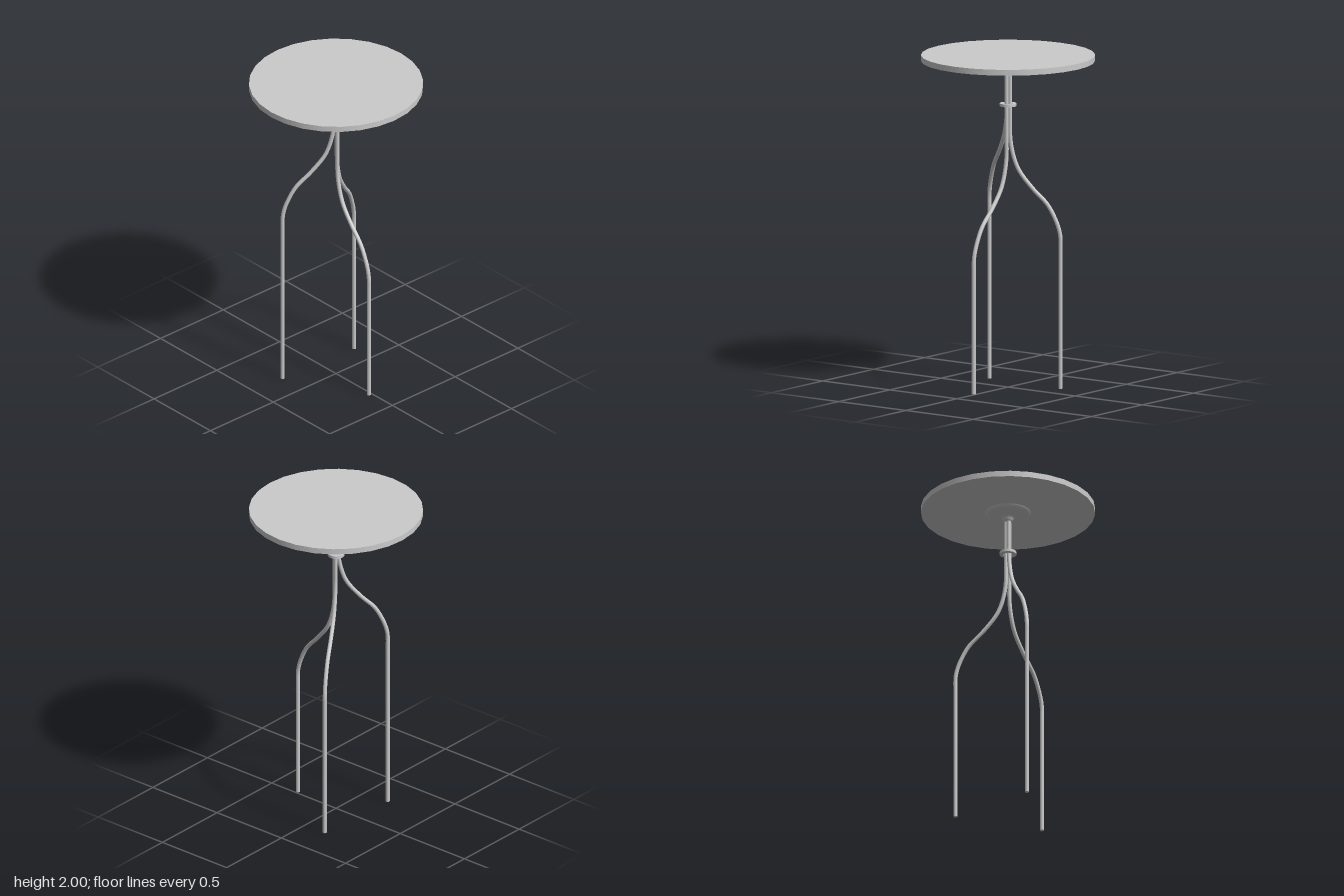
import * as THREE from 'three';

const material = new THREE.MeshStandardMaterial({ color: 0xcccccc });
const TUBE_R = 0.0125;

function addMesh(parent, name, geometry, y = 0) {
  const mesh = new THREE.Mesh(geometry, material);
  mesh.name = name;
  mesh.position.y = y;
  parent.add(mesh);
  return mesh;
}

function lathe(points, sides) {
  return new THREE.LatheGeometry(points.map(([r, y]) => new THREE.Vector2(r, y)), sides);
}

// One bent tube: straight at the column, an S-bend outwards, then straight down.
// The bend has the same shape on every leg; only its height changes.
function makeLeg(name, footX, footZ, bendBottom) {
  const leg = new THREE.Group();
  leg.name = name;
  const reach = Math.hypot(footX, footZ);
  const inner = 0.0125;
  // [share of the way out, height above the lower end of the bend]
  const bend = [
    [0, 0.62], [0.025, 0.55], [0.1, 0.46], [0.2, 0.395],
    [0.46, 0.295], [0.74, 0.205], [0.9, 0.115], [0.975, 0.05], [1, 0],
  ];
  const profile = [[0, 1.94], [0, bendBottom + 0.66]];
  for (const [share, h] of bend) profile.push([share, bendBottom + h]);
  profile.push([1, bendBottom - 0.05], [1, bendBottom / 2], [1, 0]);

  const points = profile.map(([share, y]) => {
    const r = inner + share * (reach - inner);
    return new THREE.Vector3((footX / reach) * r, y, (footZ / reach) * r);
  });
  const path = new THREE.CatmullRomCurve3(points, false, 'centripetal');
  addMesh(leg, name + 'Tube', new THREE.TubeGeometry(path, 72, TUBE_R, 10));

  // closed foot
  const foot = addMesh(leg, name + 'Foot', new THREE.CircleGeometry(TUBE_R, 10));
  foot.rotation.x = Math.PI / 2;
  foot.position.set(footX, 0, footZ);
  return leg;
}

export function createModel() {
  const model = new THREE.Group();
  model.name = 'sideTable';

  // Round top
  addMesh(model, 'tableTop', new THREE.CylinderGeometry(0.517, 0.517, 0.035, 28), 1.9825);

  // Shallow dish and hub fixed under the top
  addMesh(model, 'mountingPlate', lathe([
    [0, 1.905], [0.027, 1.905], [0.03, 1.918], [0.038, 1.933],
    [0.075, 1.938], [0.115, 1.947], [0.13, 1.955], [0.136, 1.966],
  ], 28));

  // Collar ring that gathers the legs
  addMesh(model, 'collar', lathe([
    [0.027, 1.692], [0.05, 1.692], [0.05, 1.692], [0.05, 1.709],
    [0.05, 1.709], [0.027, 1.709], [0.027, 1.709], [0.027, 1.692],
  ], 24));

  // Three legs with bends at different heights
  model.add(makeLeg('leftLeg', 0.312, 0.018, 0.79));
  model.add(makeLeg('frontRightLeg', -0.173, 0.27, 1.1));
  model.add(makeLeg('backRightLeg', -0.149, -0.278, 0.9));

  return model;
}
